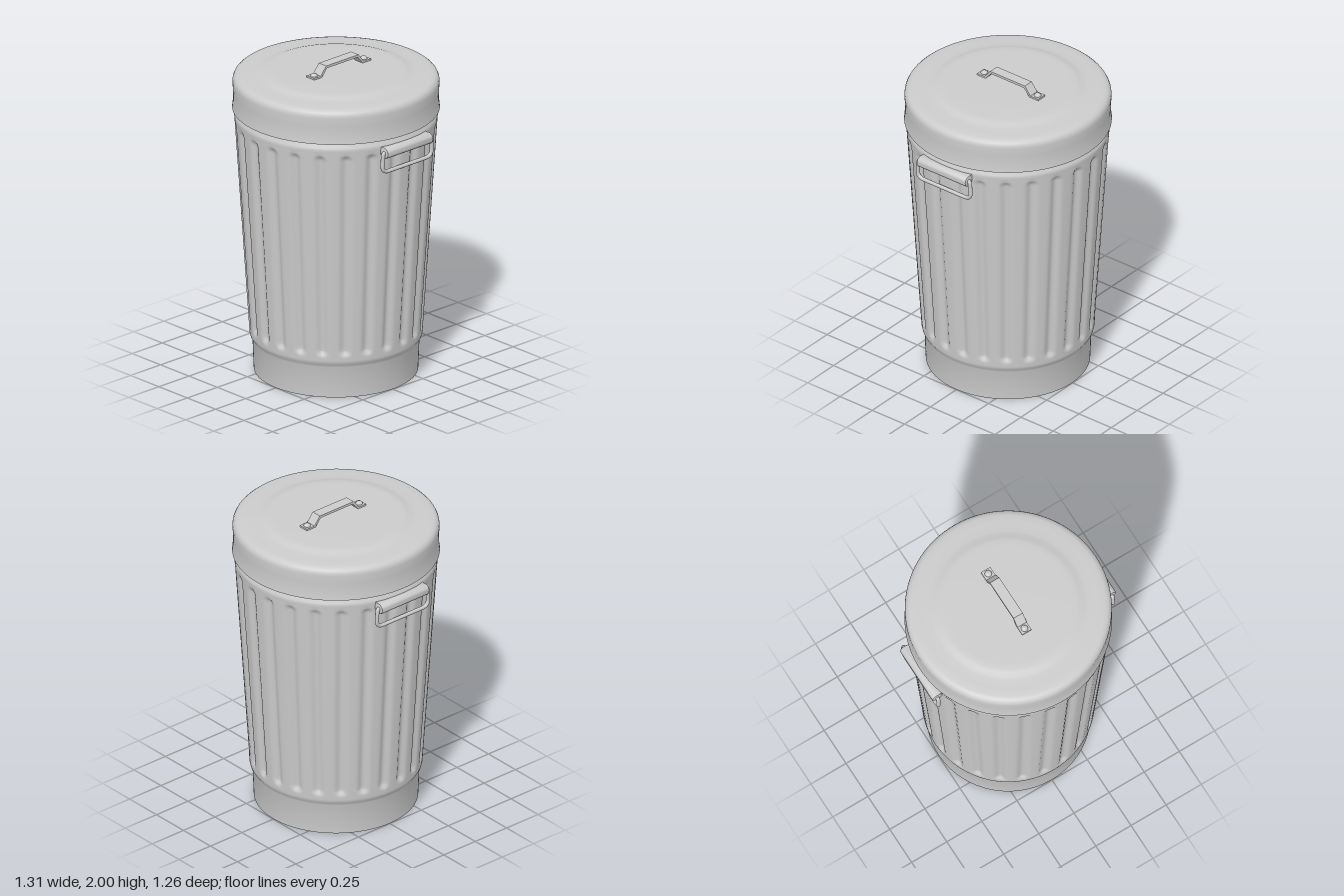
import * as THREE from 'three';
import { toCreasedNormals } from 'three/addons/utils/BufferGeometryUtils.js';

const material = new THREE.MeshStandardMaterial({ color: 0xcccccc, side: THREE.DoubleSide });
const points = list => list.map(([x, y]) => new THREE.Vector2(x, y));

function add(parent, name, geometry, x = 0, y = 0, z = 0) {
  const mesh = new THREE.Mesh(geometry, material);
  mesh.name = name;
  mesh.position.set(x, y, z);
  parent.add(mesh);
  return mesh;
}

// Tapered can with rounded-end flutes pressed into its wall
function bodyGeometry() {
  const flutes = 24, pitch = (Math.PI * 2) / flutes;
  const low = 0.31, high = 1.58, halfWidth = 0.045, depth = 0.022;
  const wall = y => 0.523 + ((y - 0.24) / 1.41) * 0.092;

  const profile = [[0, 0], [0.497, 0], [0.505, 0.2], [0.51, 0.212], [0.52, 0.228]];
  for (let y = 0.24; y < 0.37; y += 0.01) profile.push([wall(y), y]);
  for (let y = 0.45; y < 1.5; y += 0.15) profile.push([wall(y), y]);
  for (let y = 1.53; y < 1.645; y += 0.01) profile.push([wall(y), y]);
  profile.push([0.616, 1.655], [0.613, 1.665], [0.602, 1.685], [0.597, 1.7], [0.597, 1.75]);

  const geometry = new THREE.LatheGeometry(points(profile), flutes * 12);
  const pos = geometry.attributes.position;
  for (let i = 0; i < pos.count; i++) {
    const x = pos.getX(i), y = pos.getY(i), z = pos.getZ(i);
    const r = Math.hypot(x, z);
    if (y < 0.23 || y > 1.65) continue;
    const angle = Math.atan2(x, z) + Math.PI * 2;
    const across = ((angle % pitch) - pitch / 2) * r;
    const along = Math.max(low - y, 0, y - high);
    const d = Math.min(Math.hypot(across, along) / halfWidth, 1);
    const k = 1 - (depth * (0.5 + 0.5 * Math.cos(Math.PI * d))) / r;
    pos.setXYZ(i, x * k, y, z * k);
  }
  return toCreasedNormals(geometry, 0.9);
}

// Overlapping lid with rounded shoulder and slightly raised centre panel
function lidGeometry() {
  const profile = [
    [0.598, 1.73], [0.615, 1.72], [0.619, 1.7], [0.628, 1.698], [0.626, 1.715], [0.622, 1.75],
    [0.623, 1.81], [0.626, 1.865], [0.624, 1.882], [0.617, 1.897], [0.604, 1.908], [0.585, 1.913],
    [0.54, 1.915], [0.48, 1.918], [0.46, 1.921], [0.435, 1.93], [0.415, 1.934], [0.38, 1.935], [0, 1.935]
  ];
  return toCreasedNormals(new THREE.LatheGeometry(points(profile), 96), 0.7);
}

// Bent strap, drawn in the z-y plane and extruded across x
function strapGeometry() {
  const outline = points([
    [-0.26, 1.933], [-0.193, 1.933], [-0.15, 1.984], [0.105, 1.984], [0.15, 1.933], [0.212, 1.933],
    [0.212, 1.946], [0.157, 1.946], [0.112, 2], [-0.157, 2], [-0.2, 1.946], [-0.26, 1.946]
  ]);
  const geometry = new THREE.ExtrudeGeometry(new THREE.Shape(outline), { depth: 0.066, bevelEnabled: false });
  return geometry.rotateY(-Math.PI / 2).translate(0.033, 0, 0);
}

// Rounded wire loop hanging from the ends of the grip
function bailGeometry() {
  const half = 0.2, top = 1.625, bottom = 1.5, r = 0.045;
  const v = (y, z) => new THREE.Vector3(0, y, z);
  const path = new THREE.CurvePath();
  path.add(new THREE.LineCurve3(v(top, 0.17), v(top, half - 0.02)));
  path.add(new THREE.QuadraticBezierCurve3(v(top, half - 0.02), v(top, half), v(top - 0.02, half)));
  path.add(new THREE.LineCurve3(v(top - 0.02, half), v(bottom + r, half + 0.004)));
  path.add(new THREE.QuadraticBezierCurve3(v(bottom + r, half + 0.004), v(bottom, half + 0.004), v(bottom, half - r)));
  path.add(new THREE.LineCurve3(v(bottom, half - r), v(bottom, 0)));
  const right = path.getSpacedPoints(60);
  const left = right.slice(0, -1).reverse().map(p => v(p.y, -p.z));
  return new THREE.TubeGeometry(new THREE.CatmullRomCurve3([...right, ...left]), 140, 0.0125, 10);
}

// Rolled grip with softly rounded ends
function gripGeometry() {
  const r = 0.036, h = 0.19;
  const profile = [[0, -h], [r - 0.008, -h], [r - 0.002, -h + 0.003], [r, -h + 0.01],
    [r, h - 0.01], [r - 0.002, h - 0.003], [r - 0.008, h], [0, h]];
  return toCreasedNormals(new THREE.LatheGeometry(points(profile), 28), 0.7).rotateX(Math.PI / 2);
}

export function createModel() {
  const model = new THREE.Group();
  model.name = 'trashCan';
  add(model, 'body', bodyGeometry());

  const lid = new THREE.Group();
  lid.name = 'lid';
  model.add(lid);
  add(lid, 'lidCover', lidGeometry());
  add(lid, 'lidHandle', strapGeometry());
  for (const z of [-0.23, 0.184]) {
    const rivet = add(lid, 'rivet', new THREE.SphereGeometry(0.022, 20, 8, 0, Math.PI * 2, 0, Math.PI / 2), 0, 1.945, z);
    rivet.scale.y = 0.8;
  }

  // Side handles
  for (const side of [1, -1]) {
    const handle = new THREE.Group();
    handle.name = side > 0 ? 'leftHandle' : 'rightHandle';
    handle.position.z = -0.004;
    model.add(handle);
    add(handle, 'grip', gripGeometry(), side * 0.618, 1.622, 0);
    add(handle, 'gripMount', new THREE.BoxGeometry(0.05, 0.05, 0.37), side * 0.595, 1.63, 0);
    add(handle, 'wireLoop', bailGeometry(), side * 0.621, 0, 0);
  }
  return model;
}
